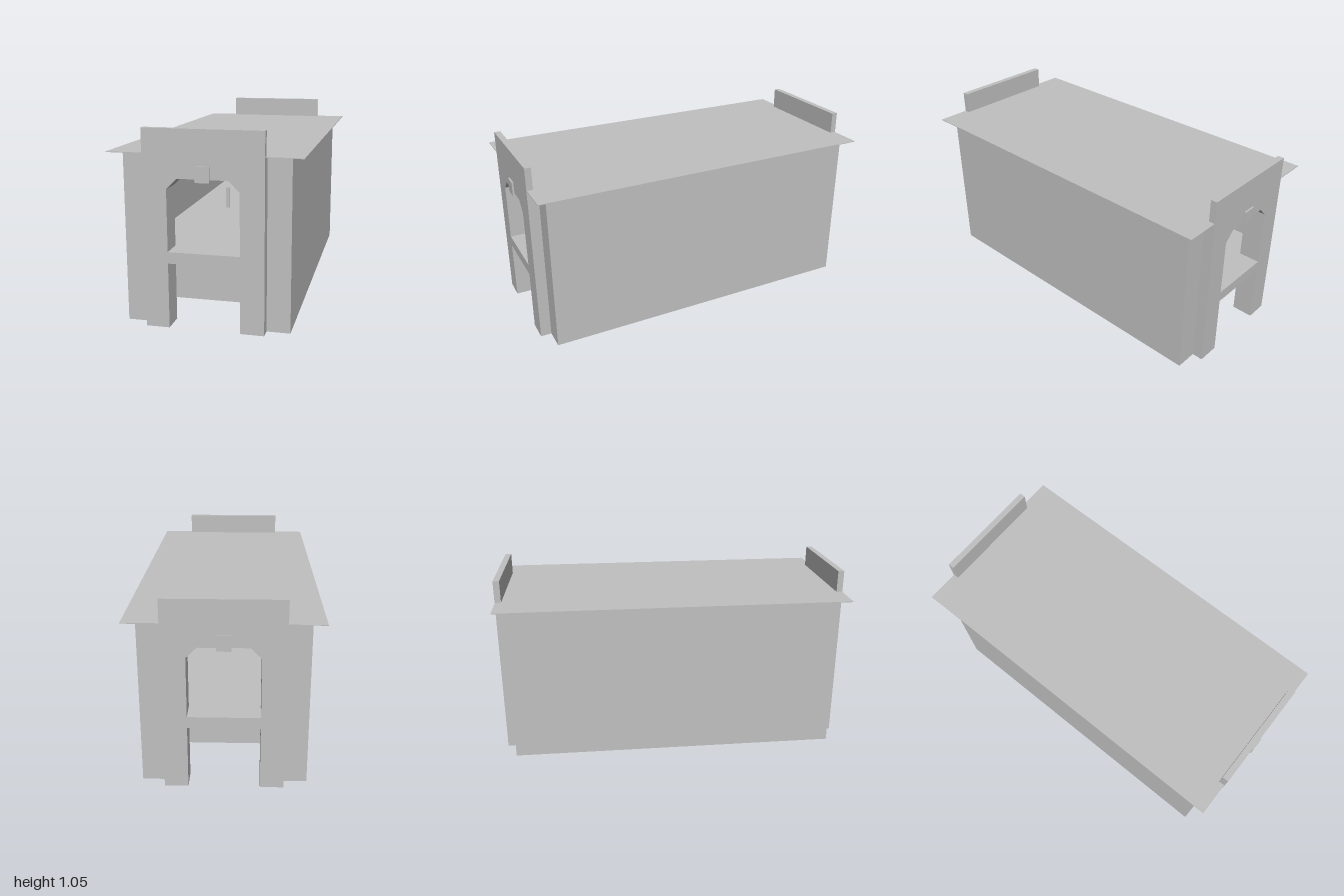
import * as THREE from 'three';

const stone = new THREE.MeshStandardMaterial({ color: 0xc0c0c0 });
stone.name = 'plainGrey';

function add(parent, name, geometry) {
  const mesh = new THREE.Mesh(geometry, stone);
  mesh.name = name;
  parent.add(mesh);
  return mesh;
}

// Box given by its minimum and maximum corners
function box(parent, name, [x0, y0, z0], [x1, y1, z1]) {
  const mesh = add(parent, name, new THREE.BoxGeometry(x1 - x0, y1 - y0, z1 - z0));
  mesh.position.set((x0 + x1) / 2, (y0 + y1) / 2, (z0 + z1) / 2);
  return mesh;
}

// Upright slab with two legs, a crossbar and a chamfered window
function archSlab(parent, name, halfWidth, top, z0, z1) {
  const shape = new THREE.Shape([
    [-halfWidth, 0.033], [-0.185, 0.033], [-0.185, 0.375], [0.185, 0.375],
    [0.185, 0.033], [halfWidth, 0.033], [halfWidth, top], [-halfWidth, top],
  ].map(([x, y]) => new THREE.Vector2(x, y)));
  shape.holes.push(new THREE.Path([
    [-0.185, 0.435], [-0.185, 0.755], [-0.13, 0.81], [0.13, 0.81], [0.185, 0.755], [0.185, 0.435],
  ].map(([x, y]) => new THREE.Vector2(x, y))));
  const geometry = new THREE.ExtrudeGeometry(shape, { depth: z1 - z0, bevelEnabled: false });
  add(parent, name, geometry).position.z = z0;
}

export function createModel() {
  const model = new THREE.Group();
  model.name = 'arcadedHall';

  // Thin overhanging roof
  box(model, 'roof', [-0.495, 0.928, -0.988], [0.495, 0.932, 0.988]);

  // Long side walls
  for (const s of [-1, 1]) {
    const wall = box(model, s > 0 ? 'leftWall' : 'rightWall', [-0.03, 0.033, -0.87], [0.03, 0.928, 0.87]);
    wall.position.x = s * 0.4;
  }

  // Matching ends: inner wall, portal, raised parapet and keystone
  for (const end of ['front', 'back']) {
    const group = new THREE.Group();
    group.name = end + 'End';
    archSlab(group, 'endWall', 0.43, 0.928, 0.87, 0.93);
    archSlab(group, 'portal', 0.308, 0.928, 0.93, 0.99);
    box(group, 'parapet', [-0.308, 0.928, 0.955], [0.308, 1.055, 0.99]);
    box(group, 'keystone', [-0.037, 0.795, 0.99], [0.037, 0.875, 1.0]);
    if (end === 'back') group.rotation.y = Math.PI;
    model.add(group);
  }

  // Floor, core below it and the base it stands on
  box(model, 'floor', [-0.37, 0.375, -0.87], [0.37, 0.435, 0.87]);
  box(model, 'core', [-0.37, 0.065, -0.59], [0.37, 0.375, 0.59]);
  box(model, 'base', [-0.37, 0, -0.495], [0.37, 0.065, 0.495]);

  // Small posts and a leaning lever on the floor
  for (const x of [-0.13, 0.13]) {
    box(model, 'post', [x - 0.009, 0.435, -0.009], [x + 0.009, 0.565, 0.009]);
  }
  const lever = box(model, 'lever', [-0.006, -0.06, -0.006], [0.006, 0.06, 0.006]);
  lever.position.set(0.152, 0.49, 0);
  lever.rotation.z = -0.28;

  return model;
}
